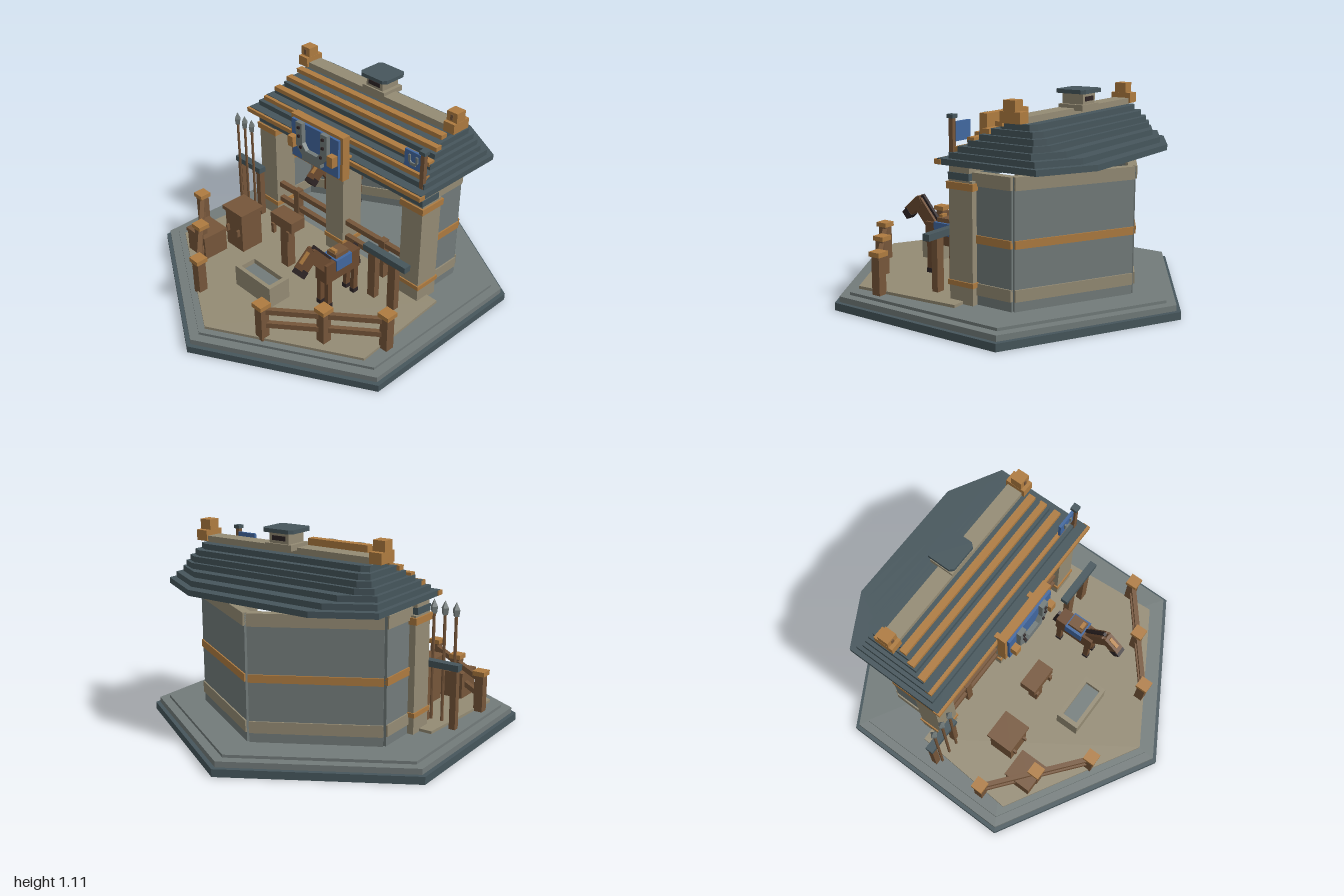
import * as THREE from 'three';

const mat = (name, color) => Object.assign(new THREE.MeshStandardMaterial({ color }), { name });

export function createModel() {
  const slate = mat('slate', 0x46565c), stone = mat('stone', 0x727b7a), sand = mat('sand', 0x948b74);
  const wood = mat('light wood', 0xae7b40), brown = mat('brown wood', 0x76563a);
  const blue = mat('blue', 0x41679f), dark = mat('dark', 0x2e2526), coat = mat('horse coat', 0x6b4a30);
  const model = new THREE.Group();
  model.name = 'stable';

  const add = (name, geometry, material, parent = model) => {
    const m = new THREE.Mesh(geometry, material);
    m.name = name;
    parent.add(m);
    return m;
  };
  // Box given by its extents on each axis
  const box = (name, material, x0, x1, y0, y1, z0, z1, parent = model) => {
    const m = add(name, new THREE.BoxGeometry(x1 - x0, y1 - y0, z1 - z0), material, parent);
    m.position.set((x0 + x1) / 2, (y0 + y1) / 2, (z0 + z1) / 2);
    return m;
  };
  const flat = (g) => {
    const f = g.toNonIndexed();
    f.computeVertexNormals();
    return f;
  };
  // Horizontal slab from [x, z] corners
  const slab = (name, material, pts, y0, y1, parent = model) => {
    const shape = new THREE.Shape(pts.map(([x, z]) => new THREE.Vector2(x, -z)));
    const g = new THREE.ExtrudeGeometry(shape, { depth: y1 - y0, bevelEnabled: false });
    g.rotateX(-Math.PI / 2);
    const m = add(name, g, material, parent);
    m.position.y = y0;
    return m;
  };
  // Upright beam between two [x, z] points
  const span = (name, material, a, b, y0, y1, t, parent = model) => {
    const dx = b[0] - a[0], dz = b[1] - a[1];
    const m = add(name, new THREE.BoxGeometry(Math.hypot(dx, dz), y1 - y0, t), material, parent);
    m.position.set((a[0] + b[0]) / 2, (y0 + y1) / 2, (a[1] + b[1]) / 2);
    m.rotation.y = -Math.atan2(dz, dx);
    return m;
  };
  const group = (name, parent = model) => {
    const g = new THREE.Group();
    g.name = name;
    parent.add(g);
    return g;
  };

  // Stepped hexagonal base and yard
  [[1, 0, 0.04, slate], [0.975, 0.04, 0.07, stone], [0.92, 0.07, 0.085, stone]].forEach(([r, y0, y1, m]) => {
    add('baseStep', flat(new THREE.CylinderGeometry(r, r, y1 - y0, 6)), m).position.y = (y0 + y1) / 2;
  });
  slab('yard', sand, [[0, 0.88], [0.73, 0.46], [0.69, -0.13], [-0.69, -0.13], [-0.73, 0.46]], 0.085, 0.1);

  // Walls with base, middle and top bands
  const plan = [[0.57, -0.12], [0.57, -0.392], [0, -0.715], [-0.57, -0.392], [-0.57, -0.12]];
  for (let i = 0; i < 4; i++) {
    const a = plan[i], b = plan[i + 1];
    span('wall', stone, a, b, 0.085, 0.735, 0.03);
    span('wallFoot', sand, a, b, 0.135, 0.195, 0.045);
    span('wallBand', wood, a, b, 0.395, 0.435, 0.045);
    span('wallTop', sand, a, b, 0.675, 0.74, 0.045);
  }

  // Front pillars and lintel
  [-0.553, -0.005, 0.553].forEach((x) => {
    box('pillar', sand, x - 0.067, x + 0.067, 0.085, 0.7, -0.19, -0.05);
    box('pillarCap', wood, x - 0.077, x + 0.077, 0.655, 0.69, -0.2, -0.04);
    box('pillarFoot', wood, x - 0.074, x + 0.074, 0.175, 0.2, -0.197, -0.043);
  });
  box('lintel', slate, -0.62, 0.62, 0.7, 0.735, -0.17, -0.045);
  box('upperLintel', sand, -0.615, 0.615, 0.735, 0.772, -0.17, -0.05);

  // Layered roof with clipped back corners
  const layers = [[0.645, 0, -0.725, 0.28], [0.62, -0.05, -0.665, 0.22], [0.6, -0.09, -0.6, 0.16], [0.58, -0.135, -0.55, 0.08],
    [0.56, -0.19, -0.53, 0.06], [0.54, -0.24, -0.505, 0.05], [0.52, -0.285, -0.47, 0.04]];
  layers.forEach(([w, f, b, c], i) => slab('roofLayer', slate,
    [[-w, f], [w, f], [w, b + c * 0.56], [w - c, b], [c - w, b], [-w, b + c * 0.56]], 0.77 + i * 0.03, 0.8 + i * 0.03));
  [[0.65, 0.772, 0], [0.6, 0.833, -0.085], [0.575, 0.88, -0.145], [0.555, 0.925, -0.22], [0.535, 0.962, -0.28]].forEach(([w, y, z]) =>
    box('roofBatten', wood, -w, w, y, y + 0.024, z - 0.025, z + 0.015));
  box('ridge', sand, -0.51, 0.51, 0.975, 1.012, -0.42, -0.33);
  for (const s of [-1, 1]) {
    const x = s * 0.535;
    box('ridgeEndFoot', wood, x - 0.034, x + 0.034, 0.985, 1.04, -0.43, -0.315);
    box('ridgeEndBlock', wood, x - 0.033, x + 0.033, 1.04, 1.093, -0.4, -0.335);
    box('ridgeEndMark', brown, x - 0.008, x + 0.008, 1.05, 1.08, -0.336, -0.331);
  }

  // Chimney vent
  box('chimneyFoot', sand, -0.08, 0.08, 1.0, 1.03, -0.47, -0.33);
  box('chimney', sand, -0.058, 0.058, 1.03, 1.09, -0.46, -0.34);
  box('chimneyOpening', dark, -0.04, 0.04, 1.045, 1.068, -0.464, -0.336);
  slab('chimneyCap', slate, [[-0.075, -0.315], [0.075, -0.315], [0.093, -0.335], [0.093, -0.465], [0.075, -0.485],
    [-0.075, -0.485], [-0.093, -0.465], [-0.093, -0.335]], 1.085, 1.105);

  // Horseshoe ornament, one unit wide, facing +z
  const horseshoe = (x, y, z, size, depth, parent) => {
    const half = [[0.5, 0.45], [0.5, -0.15], [0.3, -0.35], [0.3, -0.45]];
    const inner = [[0.18, -0.2], [0.3, -0.05], [0.3, 0.45]];
    const flip = (a) => a.map(([u, v]) => [-u, v]).reverse();
    const pts = [...flip(half), ...flip(inner), ...inner, ...half].map(([u, v]) => new THREE.Vector2(u * size, v * size));
    const outline = [...half, ...flip(half), ...flip(inner), ...inner];
    pts.length = 0;
    outline.forEach(([u, v]) => pts.push(new THREE.Vector2(u * size, v * size)));
    const g = new THREE.ExtrudeGeometry(new THREE.Shape(pts), { depth, bevelEnabled: false });
    add('horseshoe', g, stone, parent).position.set(x, y, z);
  };

  // Hanging sign
  const sign = group('sign');
  box('signBoard', wood, -0.195, 0.19, 0.71, 0.965, 0.035, 0.083, sign);
  box('signPanel', blue, -0.177, 0.172, 0.727, 0.948, 0.083, 0.098, sign);
  horseshoe(-0.003, 0.855, 0.098, 0.23, 0.025, sign);
  for (const s of [-1, 1]) {
    box('signClamp', wood, s * 0.148 - 0.022, s * 0.148 + 0.018, 0.8, 0.86, 0.09, 0.135, sign);
    for (const [x, y] of [[0.09, 0.925], [0.09, 0.875], [0.075, 0.815]]) {
      box('nail', dark, s * x - 0.01, s * x + 0.004, y, y + 0.014, 0.12, 0.132, sign);
    }
    box('signBracket', wood, s * 0.14 - 0.015, s * 0.14 + 0.015, 0.785, 0.81, -0.02, 0.04, sign);
  }

  // Flag on the roof
  const flag = group('flag');
  box('flagPole', brown, 0.588, 0.612, 0.78, 0.995, -0.072, -0.048, flag);
  box('flagPoleCap', slate, 0.581, 0.619, 0.993, 1.012, -0.079, -0.041, flag);
  box('flagCloth', blue, 0.475, 0.59, 0.88, 0.975, -0.075, -0.06, flag);
  horseshoe(0.535, 0.93, -0.06, 0.06, 0.008, flag);

  // Fences
  for (const s of [-1, 1]) {
    const posts = [[s * 0.738, 0.312], [s * 0.495, 0.51], [s * 0.255, 0.707]];
    const fence = group('fence');
    posts.forEach(([x, z], i) => {
      box('fencePost', brown, x - 0.025, x + 0.025, 0.085, 0.29, z - 0.025, z + 0.025, fence);
      box('fencePostCap', wood, x - 0.034, x + 0.034, 0.285, 0.31, z - 0.034, z + 0.034, fence);
      if (i) for (const y of [0.16, 0.245]) span('fenceRail', brown, posts[i - 1], [x, z], y, y + 0.03, 0.025, fence);
    });
  }

  // Stall rails between the pillars
  for (const s of [-1, 1]) {
    for (const y of [0.2, 0.3]) box('stallRail', brown, s * 0.28 - 0.22, s * 0.28 + 0.22, y, y + 0.03, -0.1, -0.07);
    box('stallPost', brown, s * 0.34 - 0.02, s * 0.34 + 0.02, 0.085, 0.34, -0.105, -0.065);
  }

  // Spear rack
  const rack = group('spearRack');
  box('rackBeam', slate, -0.77, -0.555, 0.395, 0.428, -0.02, 0.025, rack);
  for (const x of [-0.745, -0.58]) box('rackPost', brown, x - 0.017, x + 0.017, 0.085, 0.4, -0.018, 0.016, rack);
  for (const x of [-0.725, -0.662, -0.6]) {
    add('spearShaft', flat(new THREE.CylinderGeometry(0.008, 0.008, 0.57, 6)), brown, rack).position.set(x, 0.385, 0.03);
    const head = add('spearHead', flat(new THREE.CylinderGeometry(0.021, 0.016, 0.035, 4)), stone, rack);
    head.position.set(x, 0.683, 0.03);
    add('spearTip', flat(new THREE.ConeGeometry(0.021, 0.04, 4)), stone, rack).position.set(x, 0.72, 0.03);
  }

  // Hitching rail
  box('hitchBeam', slate, 0.36, 0.65, 0.378, 0.413, 0.055, 0.097);
  for (const x of [0.42, 0.56]) box('hitchPost', brown, x - 0.025, x + 0.025, 0.085, 0.38, 0.058, 0.094);

  // Cabinet, crate and saddle stand
  box('cabinet', brown, -0.49, -0.35, 0.1, 0.335, 0.195, 0.335);
  box('cabinetTop', brown, -0.505, -0.335, 0.33, 0.353, 0.187, 0.345);
  for (const x of [-0.465, -0.375]) box('cabinetHandle', brown, x - 0.006, x + 0.006, 0.2, 0.24, 0.335, 0.355);
  box('crate', brown, -0.595, -0.44, 0.1, 0.235, 0.38, 0.53);
  box('crateLid', brown, -0.6, -0.435, 0.225, 0.245, 0.375, 0.535);
  box('standTop', brown, -0.178, -0.01, 0.365, 0.43, 0.17, 0.265);
  box('standPost', brown, -0.125, -0.07, 0.085, 0.37, 0.19, 0.245);
  for (const x of [-0.155, -0.035]) box('standHook', brown, x - 0.01, x + 0.01, 0.31, 0.37, 0.255, 0.275);

  // Water trough
  const trough = group('trough');
  box('troughFloor', stone, -0.115, 0.085, 0.1, 0.19, 0.43, 0.525, trough);
  for (const z of [0.41, 0.522]) box('troughSide', sand, -0.155, 0.125, 0.1, 0.225, z, z + 0.022, trough);
  for (const x of [-0.155, 0.099]) box('troughEnd', sand, x, x + 0.026, 0.1, 0.225, 0.43, 0.524, trough);
  box('water', stone, -0.13, 0.1, 0.185, 0.195, 0.43, 0.524, trough);

  // Horses, one in the yard and one in its stall
  const tilted = (name, m, size, y, z, rx, h) => {
    const p = add(name, new THREE.BoxGeometry(...size), m, h);
    p.position.set(0, y, z);
    p.rotation.x = rx;
  };
  const horse = (x, z) => {
    const h = group('horse');
    h.position.set(x, 0, z);
    box('body', coat, -0.042, 0.042, 0.265, 0.38, 0.1, 0.34, h);
    box('blanket', blue, -0.05, 0.05, 0.32, 0.387, 0.165, 0.275, h);
    box('saddle', brown, -0.034, 0.034, 0.385, 0.41, 0.175, 0.265, h);
    box('saddleHorn', wood, -0.02, 0.02, 0.41, 0.425, 0.24, 0.26, h);
    for (const s of [-1, 1]) {
      for (const lz of [0.125, 0.315]) {
        box('leg', coat, s * 0.028 - 0.013, s * 0.028 + 0.013, 0.12, 0.27, lz - 0.015, lz + 0.015, h);
        box('hoof', dark, s * 0.028 - 0.015, s * 0.028 + 0.015, 0.1, 0.125, lz - 0.017, lz + 0.018, h);
      }
      box('ear', coat, s * 0.018 - 0.007, s * 0.018 + 0.007, 0.48, 0.508, 0.395, 0.41, h);
    }
    tilted('neck', coat, [0.05, 0.16, 0.07], 0.415, 0.36, 0.7, h);
    tilted('mane', dark, [0.018, 0.17, 0.02], 0.445, 0.335, 0.7, h);
    tilted('head', coat, [0.052, 0.055, 0.12], 0.448, 0.435, 0.7, h);
    tilted('blaze', wood, [0.02, 0.006, 0.07], 0.475, 0.452, 0.7, h);
    tilted('muzzle', dark, [0.056, 0.05, 0.04], 0.402, 0.483, 0.7, h);
    tilted('tail', dark, [0.022, 0.14, 0.022], 0.31, 0.082, 0.2, h);
  };
  horse(0.297, 0);
  horse(-0.283, -0.62);

  return model;
}
